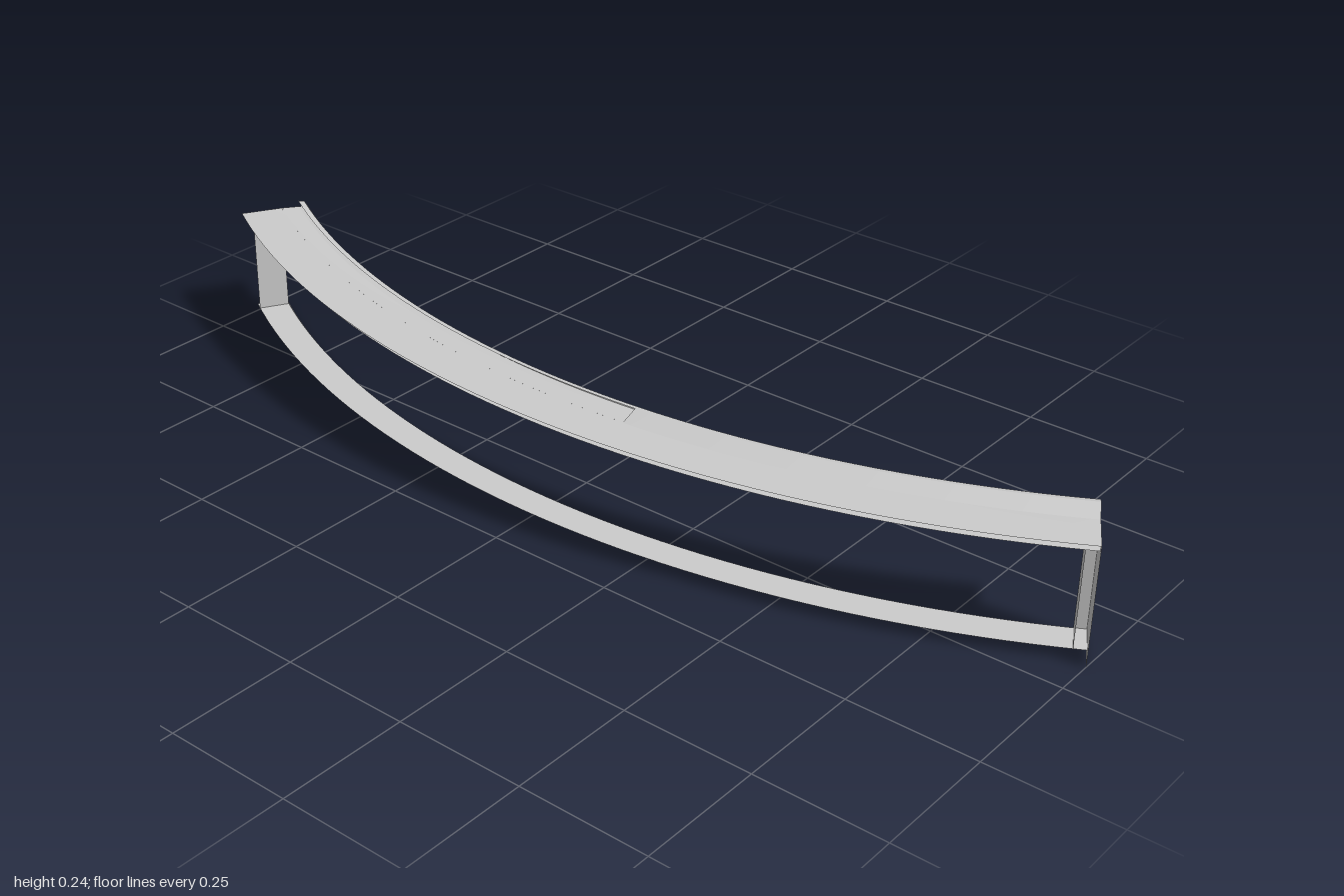
import * as THREE from 'three';
import { toCreasedNormals } from 'three/addons/utils/BufferGeometryUtils.js';

const END = Math.PI / 6;      // half of the arc's opening angle
const CENTRE_Z = -1.8075;     // arc centre behind the frame
const WEB = 1.92;             // radius of the frame's upright face
const FLANGE = 1.982;         // radius of the flange's free edge
const INSET = 0.0115;         // jamb width as an angle
const TOP = 0.232;

const material = new THREE.MeshStandardMaterial({ color: 0xcccccc, side: THREE.DoubleSide });

const place = (r, y, a) => [r * Math.sin(a), y, r * Math.cos(a) + CENTRE_Z];

// Sheet swept around the arc from a profile of [radius, height] points
function sweep(name, profile, from = -END, to = END) {
  const steps = Math.max(1, Math.ceil((to - from) / 0.022));
  const n = profile.length;
  const positions = [], index = [];
  for (let i = 0; i <= steps; i++) {
    const a = from + (to - from) * i / steps;
    for (const [r, y] of profile) positions.push(...place(r, y, a));
  }
  for (let i = 0; i < steps; i++) {
    for (let j = 0; j < n - 1; j++) {
      const p = i * n + j, q = p + n;
      index.push(p, q, p + 1, p + 1, q, q + 1);
    }
  }
  return finish(name, positions, index);
}

// Upright flat panel lying along a radius
function radialPanel(name, a, r0, r1, y0, y1) {
  const positions = [place(r0, y0, a), place(r1, y0, a), place(r1, y1, a), place(r0, y1, a)].flat();
  return finish(name, positions, [0, 1, 2, 0, 2, 3]);
}

function finish(name, positions, index) {
  const geometry = new THREE.BufferGeometry();
  geometry.setAttribute('position', new THREE.Float32BufferAttribute(positions, 3));
  geometry.setIndex(index);
  const mesh = new THREE.Mesh(toCreasedNormals(geometry, 0.2), material);
  mesh.name = name;
  return mesh;
}

export function createModel() {
  const group = new THREE.Group();
  group.name = 'curvedFrame';

  // Rails: upright face with a flange reaching outward at the opening
  group.add(sweep('bottomRail', [[WEB - 0.004, 0], [WEB - 0.004, 0.015], [WEB, 0.021], [FLANGE, 0.021]]));
  group.add(sweep('topRail', [[WEB - 0.004, TOP], [WEB - 0.004, 0.219], [WEB, 0.212], [FLANGE, 0.212]]));

  // Jambs: the same L section turned upright at both ends
  for (const side of [-1, 1]) {
    const jamb = new THREE.Group();
    jamb.name = side < 0 ? 'rightJamb' : 'leftJamb';
    const inner = side * (END - INSET), outer = side * END;
    jamb.add(sweep('jambFace', [[WEB, 0], [WEB, TOP]], Math.min(inner, outer), Math.max(inner, outer)));
    jamb.add(radialPanel('jambFlange', inner, WEB, FLANGE, 0.021, 0.212));
    group.add(jamb);
  }

  // Closing plate on one end only
  group.add(radialPanel('endPlate', END, 1.918, 2, 0, TOP));

  // Cover plate over the top, with a rolled lip along the back
  group.add(sweep('topPlate', [[1.879, TOP - 0.002], [1.917, TOP], [2, TOP]]));
  group.add(sweep('backLip', [[1.879, 0.2295], [1.864, 0.2305], [1.863, 0.234], [1.867, 0.24], [1.88, 0.243]]));

  // Sloped cover running along part of the plate
  group.add(sweep('slopedCover', [[1.88, 0.243], [1.918, TOP]], 0.088, END));
  return group;
}
